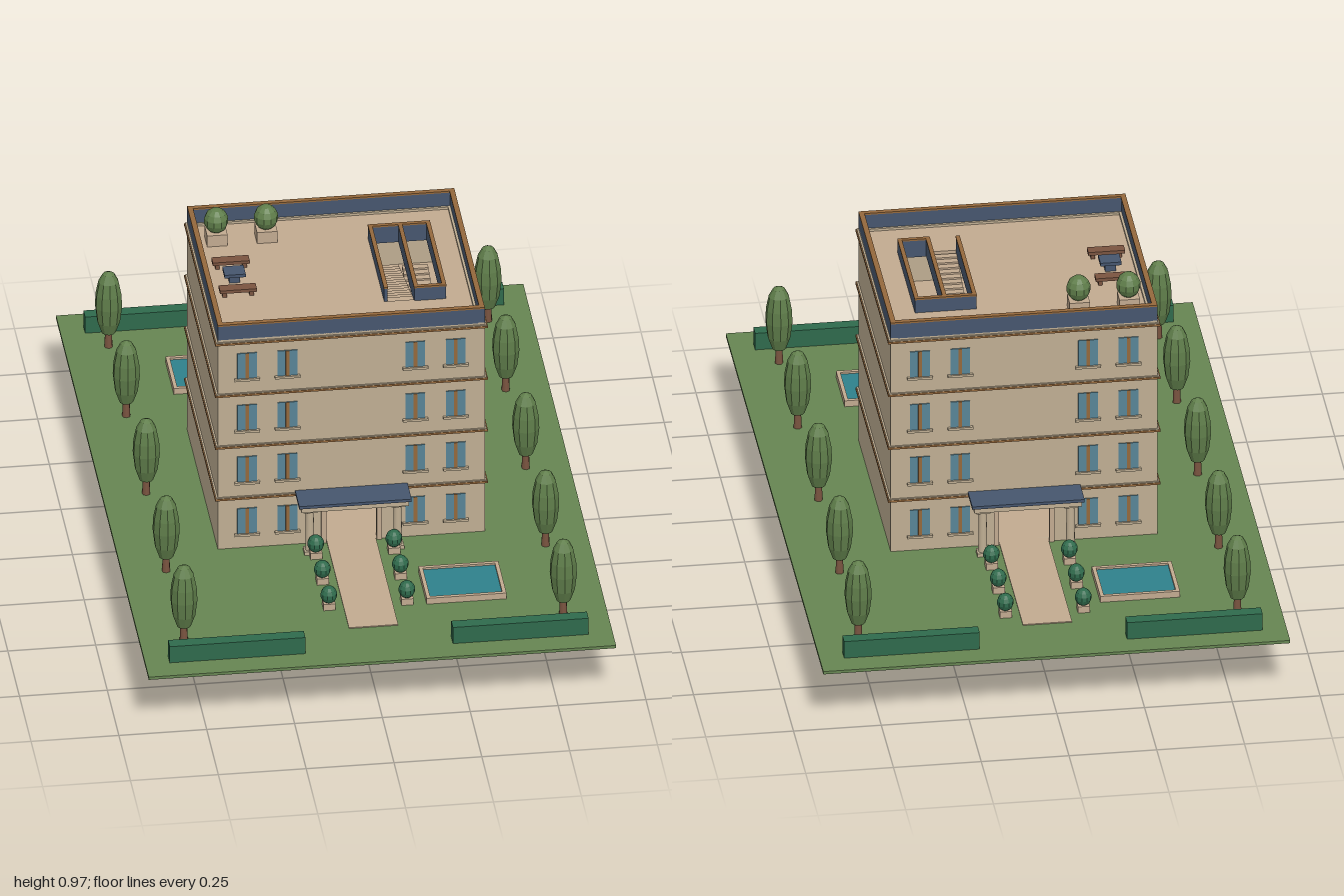
import * as THREE from 'three';

const flat = (name, color, extra = {}) => {
  const m = new THREE.MeshStandardMaterial({ color, ...extra });
  m.name = name;
  return m;
};

export function createModel() {
  const wall = flat('sandstone wall', 0xbfae93);
  const stone = flat('pale stone', 0xc2aa90);
  const trim = flat('bronze trim', 0x94683c);
  const slate = flat('slate blue', 0x46566e);
  const glass = flat('window glass', 0x588496);
  const water = flat('pool water', 0x2f818c);
  const grass = flat('grass', 0x668552);
  const foliage = flat('tree foliage', 0x5f7d4a, { flatShading: true });
  const hedge = flat('hedge green', 0x2f6a4c, { flatShading: true });
  const wood = flat('brown wood', 0x7a5440);

  const root = new THREE.Group();
  root.name = 'apartmentBuilding';
  const G = 0.185, STOREY = 0.17, ROOF = G + 4 * STOREY;
  const W = 0.38, D = 0.33;

  const group = (name, parent = root) => {
    const g = new THREE.Group();
    g.name = name;
    parent.add(g);
    return g;
  };
  const add = (parent, name, geo, mat) => {
    const m = new THREE.Mesh(geo, mat);
    m.name = name;
    parent.add(m);
    return m;
  };
  // Box given by its lower and upper corners
  const box = (parent, name, mat, x0, x1, y0, y1, z0, z1) => {
    const m = add(parent, name, new THREE.BoxGeometry(x1 - x0, y1 - y0, z1 - z0), mat);
    m.position.set((x0 + x1) / 2, (y0 + y1) / 2, (z0 + z1) / 2);
    return m;
  };
  const rect = (Type, x0, x1, y0, y1) => {
    const s = new Type();
    s.moveTo(x0, y0).lineTo(x1, y0).lineTo(x1, y1).lineTo(x0, y1).closePath();
    return s;
  };
  // Four-sided rim around a rectangle, t thick, inside the given bounds
  const rim = (parent, name, mat, x0, x1, y0, y1, z0, z1, t) => {
    box(parent, name, mat, x0, x1, y0, y1, z0, z0 + t);
    box(parent, name, mat, x0, x1, y0, y1, z1 - t, z1);
    box(parent, name, mat, x0, x0 + t, y0, y1, z0 + t, z1 - t);
    box(parent, name, mat, x1 - t, x1, y0, y1, z0 + t, z1 - t);
  };

  // Lawn and basement
  box(root, 'lawn', grass, -0.665, 0.665, 0.176, G, -1, 1);
  box(root, 'basement', wall, -W, W, 0, 0.18, -D, D);
  box(root, 'lobbyFloor', stone, -W + 0.01, W - 0.01, 0.18, G + 0.002, -D, D);

  // Side walls, floor slabs with stairwell hole, string courses
  const body = group('building');
  for (const s of [-1, 1]) {
    const m = box(body, 'sideWall', wall, -0.01, 0.01, G - 0.006, 0.872, -D, D);
    m.position.x = s * (W - 0.01);
  }
  for (let i = 1; i <= 4; i++) {
    const y = G + i * STOREY;
    const shape = rect(THREE.Shape, -W + 0.015, W - 0.015, -D + 0.015, D - 0.015);
    shape.holes.push(rect(THREE.Path, 0.122, 0.285, -0.175, 0.168));
    const geo = new THREE.ExtrudeGeometry(shape, { depth: 0.012, bevelEnabled: false });
    geo.rotateX(Math.PI / 2);
    add(body, i < 4 ? 'floorSlab' : 'roofDeck', geo, stone).position.y = y;
    rim(body, 'stringCourse', trim, -W - 0.008, W + 0.008, y - 0.009, y - 0.003, -D - 0.006, D + 0.006, 0.012);
    rim(body, 'courseLedge', wall, -W - 0.005, W + 0.005, y - 0.003, y, -D - 0.004, D + 0.004, 0.012);
  }

  // Roof parapet and its cap
  rim(body, 'parapet', slate, -W, W, 0.87, 0.916, -D, D, 0.013);
  rim(body, 'parapetCap', trim, -W, W, 0.916, 0.921, -D, D, 0.015);

  // Stairs: two flights per storey
  const stairs = group('stairs', body);
  const N = 16, run = 0.33 / N, rise = STOREY / 2 / N;
  for (let f = 1; f <= 4; f++) {
    for (let i = 0; i < N; i++) {
      const top = G + f * STOREY - (i + 1) * rise;
      const zA = 0.16 - i * run, zB = -0.17 + i * run;
      box(stairs, 'upperStep', stone, 0.125, 0.2, top - 0.01, top, zA - run, zA);
      box(stairs, 'lowerStep', stone, 0.21, 0.283, top - 0.01 - STOREY / 2, top - STOREY / 2, zB, zB + run);
    }
  }

  // Stairwell guard walls on the roof, open where the upper flight arrives
  const guards = group('stairGuards', body);
  for (const [x0, x1, z0, z1] of [
    [0.115, 0.125, -0.18, 0.168], [0.2, 0.21, -0.17, 0.175], [0.28, 0.29, -0.18, 0.175],
    [0.125, 0.28, -0.18, -0.17], [0.21, 0.28, 0.165, 0.175],
  ]) {
    box(guards, 'guardWall', slate, x0, x1, ROOF - 0.012, 0.906, z0, z1);
    box(guards, 'guardCap', trim, x0 - 0.001, x1 + 0.001, 0.906, 0.911, z0 - 0.001, z1 + 0.001);
  }

  // One facade with windows, door, canopy, path and pool; used front and back
  for (const [name, turn] of [['front', 0], ['back', Math.PI]]) {
    const f = group(name + 'Facade');
    f.rotation.y = turn;
    const shape = rect(THREE.Shape, -W + 0.02, W - 0.02, G - 0.006, 0.872);
    shape.holes.push(rect(THREE.Path, -0.073, 0.073, G + 0.002, 0.312));
    const geo = new THREE.ExtrudeGeometry(shape, { depth: 0.02, bevelEnabled: false });
    add(f, 'facadeWall', geo, wall).position.z = D - 0.02;

    // Windows
    for (let i = 0; i < 4; i++) for (const x of [-0.297, -0.182, 0.182, 0.297]) {
      const y = 0.233 + i * STOREY;
      box(f, 'windowPane', glass, x - 0.028, x + 0.028, y, y + 0.082, D - 0.002, D + 0.003);
      box(f, 'windowMullion', trim, x - 0.005, x + 0.005, y, y + 0.082, D, D + 0.005);
      box(f, 'windowSill', wall, x - 0.036, x + 0.036, y - 0.007, y, D - 0.002, D + 0.009);
    }

    // Door surround
    for (const s of [-1, 1]) {
      box(f, 'doorJamb', stone, s * 0.079 - 0.007, s * 0.079 + 0.007, G, 0.312, D - 0.005, D + 0.006);
    }
    box(f, 'doorLintel', stone, -0.086, 0.086, 0.312, 0.322, D - 0.005, D + 0.006);

    // Canopy on columns
    box(f, 'canopyBeam', wall, -0.153, 0.153, 0.335, 0.352, D, 0.412);
    box(f, 'canopyRoof', slate, -0.16, 0.16, 0.352, 0.361, D, 0.42);
    for (const x of [-0.125, 0.125]) {
      const col = add(f, 'column', new THREE.CylinderGeometry(0.011, 0.013, 0.15, 12), wall);
      col.position.set(x, 0.26, 0.38);
      box(f, 'columnCapital', wall, x - 0.02, x + 0.02, 0.325, 0.335, 0.36, 0.4);
      box(f, 'columnBase', wall, x - 0.017, x + 0.017, G, 0.196, 0.363, 0.397);
    }

    // Path and pool
    box(f, 'path', stone, -0.07, 0.07, G - 0.002, G + 0.003, D - 0.01, 0.81);
    rim(f, 'poolRim', stone, 0.165, 0.392, G - 0.002, 0.204, 0.528, 0.706, 0.011);
    box(f, 'poolWater', water, 0.174, 0.383, G - 0.002, 0.198, 0.537, 0.697);

    // Hedges
    for (const s of [-1, 1]) {
      box(f, 'hedge', hedge, s * 0.403 - 0.193, s * 0.403 + 0.193, G, 0.238, 0.893, 0.93);
    }
  }

  // Potted round bush
  const bush = (name, x, y, z, r, mat, potW, potH) => {
    const g = group(name);
    g.position.set(x, y, z);
    box(g, 'planter', stone, -potW / 2, potW / 2, 0, potH, -potW / 2, potW / 2);
    const ball = add(g, 'bushCrown', new THREE.SphereGeometry(r, 10, 7), mat);
    ball.scale.y = 1.1;
    ball.position.y = potH + r * 0.95;
  };
  for (const z of [0.687, 0.546, 0.405, -0.459, -0.6, -0.743]) for (const x of [-0.111, 0.111]) {
    bush('pathBush', x, G, z, 0.024, hedge, 0.034, 0.02);
  }
  for (const x of [-0.312, -0.17]) bush('roofBush', x, ROOF, -0.222, 0.035, foliage, 0.058, 0.036);

  // Tall garden trees
  for (const x of [-0.54, 0.54]) for (const z of [-0.813, -0.43, 0, 0.428, 0.81]) {
    const t = group('tree');
    t.position.set(x, G, z);
    add(t, 'treeTrunk', new THREE.CylinderGeometry(0.009, 0.012, 0.07, 7), wood).position.y = 0.035;
    const profile = [[0, 0.04], [0.02, 0.048], [0.033, 0.085], [0.039, 0.135], [0.037, 0.175],
      [0.029, 0.215], [0.017, 0.238], [0, 0.247]].map(p => new THREE.Vector2(...p));
    add(t, 'treeCrown', new THREE.LatheGeometry(profile, 10), foliage);
  }

  // Roof seating: two benches and a table
  const seating = group('roofSeating');
  for (const z of [-0.08, 0.075]) {
    box(seating, 'benchSeat', wood, -0.342, -0.237, ROOF + 0.014, ROOF + 0.024, z - 0.016, z + 0.016);
    for (const x of [-0.328, -0.251]) {
      box(seating, 'benchLeg', wood, x - 0.006, x + 0.006, ROOF, ROOF + 0.014, z - 0.012, z + 0.012);
    }
  }
  box(seating, 'tableTop', slate, -0.32, -0.26, ROOF + 0.024, ROOF + 0.034, -0.026, 0.024);
  box(seating, 'tableLeg', slate, -0.305, -0.275, ROOF, ROOF + 0.024, -0.014, 0.012);

  return root;
}
